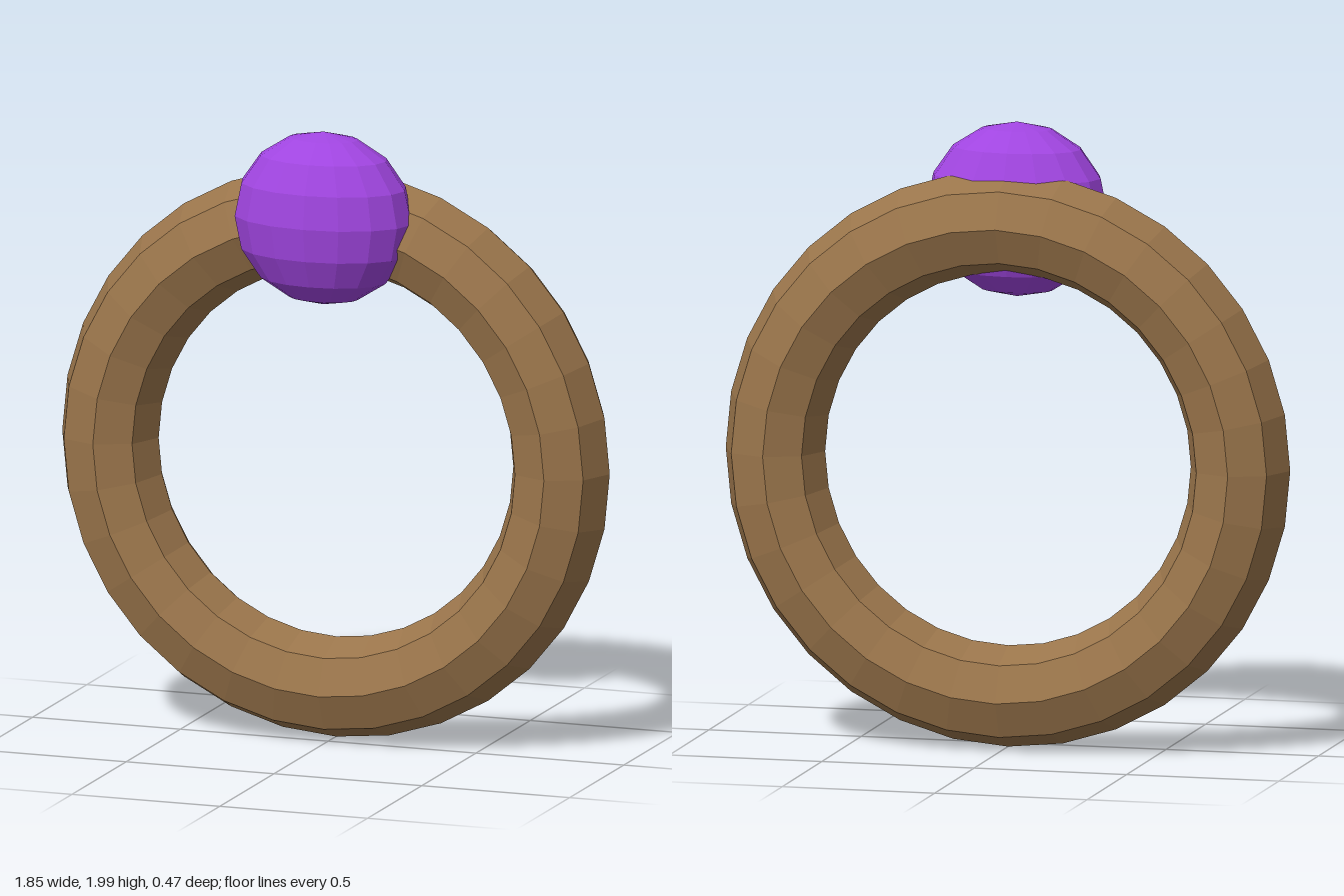
import * as THREE from 'three';

export function createModel() {
  const model = new THREE.Group();
  model.name = 'gemRing';

  const wood = new THREE.MeshStandardMaterial({ color: 0x9a754b, flatShading: true });
  wood.name = 'warm brown';
  const violet = new THREE.MeshStandardMaterial({ color: 0xa045e0, flatShading: true });
  violet.name = 'violet';

  // Upright ring with an eight-sided tube
  const band = new THREE.Mesh(new THREE.TorusGeometry(0.763, 0.163, 8, 32), wood);
  band.name = 'band';
  band.position.set(0, 0.932, -0.072);
  model.add(band);

  // Flattened faceted gem set into the front of the ring's top
  const gem = new THREE.Mesh(new THREE.SphereGeometry(1, 16, 8).scale(0.297, 0.281, 0.188), violet);
  gem.name = 'gem';
  gem.position.set(0, 1.719, 0.043);
  model.add(gem);

  return model;
}
